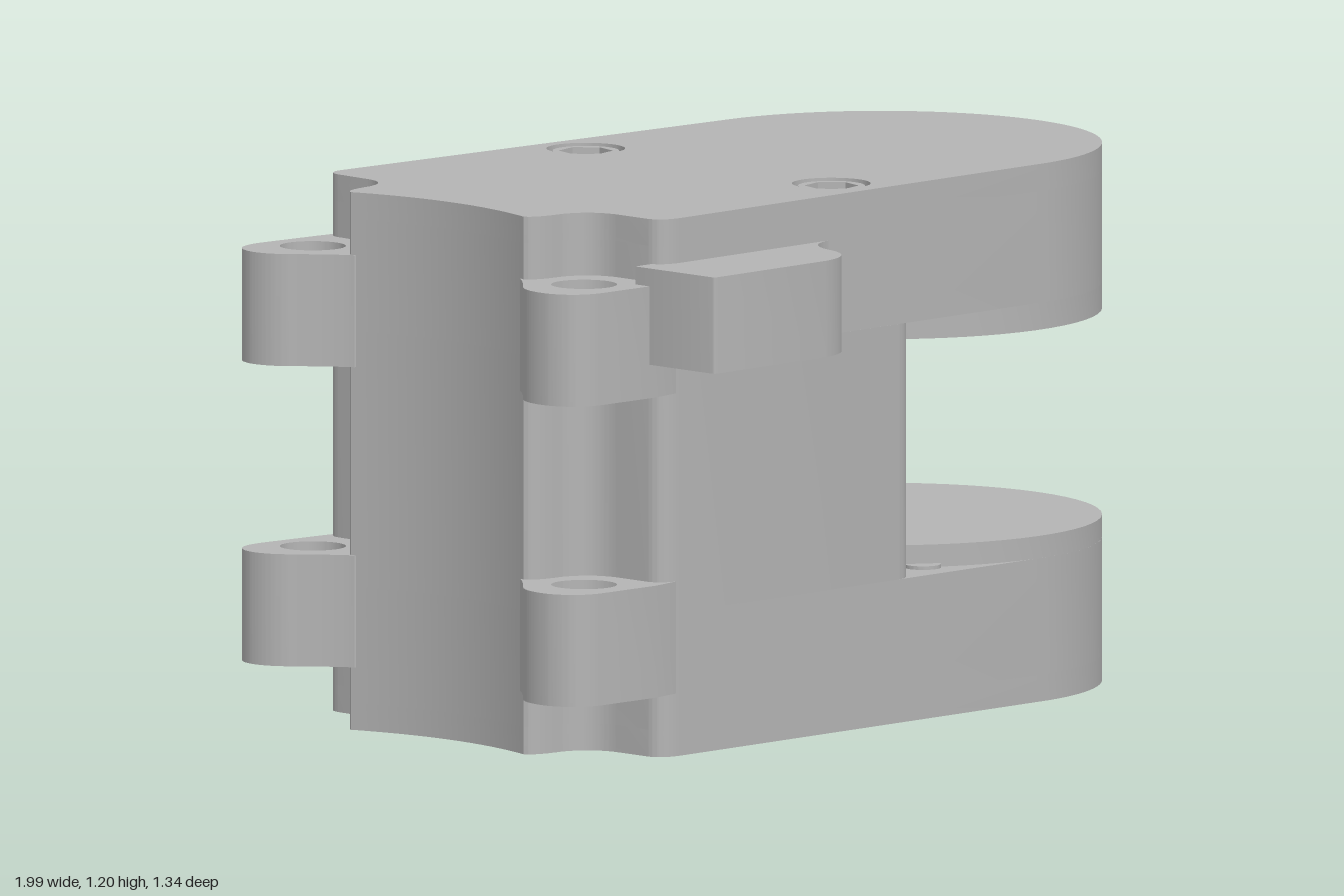
import * as THREE from 'three';
import { toCreasedNormals } from 'three/addons/utils/BufferGeometryUtils.js';

const grey = new THREE.MeshStandardMaterial({ color: 0xb4b4b4 });
grey.name = 'plain grey';

// Rounded jaw end: centre and radius in plan
const CX = 0.5, CZ = -0.08, R = 0.49;

// Plan shapes are drawn in (x, -z) so that extruding runs upward.
// Steps: [x, z] is a line, [cx, cz, x, z] a curve through a control point.
function trace(steps, shape = new THREE.Shape()) {
  steps.forEach((s, i) => {
    if (i === 0 && !shape.curves.length) shape.moveTo(s[0], -s[1]);
    else if (s.length === 2) shape.lineTo(s[0], -s[1]);
    else shape.quadraticCurveTo(s[0], -s[1], s[2], -s[3]);
  });
  return shape;
}

function circle(x, z, r) {
  return new THREE.Path().absarc(x, -z, r, 0, Math.PI * 2, true);
}

function slab(name, shape, y0, y1, holes = []) {
  shape.holes = holes;
  let g = new THREE.ExtrudeGeometry(shape, { depth: y1 - y0, bevelEnabled: false, curveSegments: 32 });
  g.rotateX(-Math.PI / 2).translate(0, y0, 0);
  const mesh = new THREE.Mesh(toCreasedNormals(g, 0.5), grey);
  mesh.name = name;
  return mesh;
}

// Notched hinge end shared by the jaws and the column, from back to front
const hingeEnd = [
  [-0.65, -0.61], [-0.7, -0.61, -0.705, -0.565], [-0.71, -0.47],
  [-0.715, -0.4, -0.79, -0.385], [-0.87, -0.38, -0.88, -0.35],
  [-0.79, -0.08, -0.88, 0.19],
  [-0.87, 0.22, -0.79, 0.22], [-0.715, 0.235, -0.71, 0.31],
  [-0.71, 0.41], [-0.705, 0.45, -0.65, 0.45],
];

function jawShape() {
  const s = trace(hingeEnd);
  s.lineTo(CX, -(CZ + R));
  s.absarc(CX, -CZ, R, -Math.PI / 2, Math.PI / 2, false);
  s.closePath();
  return s;
}

// Column with a rounded front edge and a hollow facing the discs
function columnShape() {
  const s = trace(hingeEnd);
  s.lineTo(0.05, -0.426);
  s.quadraticCurveTo(0.115, -0.42, 0.12, -0.345);
  s.absarc(CX, -CZ, 0.57, 3.983, 2.3, true);
  s.lineTo(0.12, 0.583);
  s.closePath();
  return s;
}

// Socket screw head sitting in a counterbore
function screw(x, z, y0, y1) {
  const head = new THREE.Shape().absarc(x, -z, 0.074, 0, Math.PI * 2, false);
  const hex = new THREE.Path();
  for (let i = 0; i < 6; i++) {
    const a = -i * Math.PI / 3 + 0.25;
    hex[i ? 'lineTo' : 'moveTo'](x + 0.06 * Math.cos(a), -z + 0.06 * Math.sin(a));
  }
  hex.closePath();
  return slab('screwHead', head, y0, y1, [hex]);
}

function disc(name, x, z, r, y0, y1) {
  return slab(name, new THREE.Shape().absarc(x, -z, r, 0, Math.PI * 2, false), y0, y1);
}

export function createModel() {
  const model = new THREE.Group();
  model.name = 'hingedClampBlock';
  const topScrews = [[-0.03, -0.47], [-0.03, 0.3]];
  const bottomScrews = [[0.24, 0.31], [0.24, -0.47], [-0.04, -0.29]];
  const bores = list => list.map(([x, z]) => circle(x, z, 0.087));

  // Jaws: solid plates with counterbored outer covers
  model.add(
    slab('lowerCover', jawShape(), 0, 0.06, bores(bottomScrews)),
    slab('lowerJaw', jawShape(), 0.06, 0.32),
    slab('column', columnShape(), 0.32, 0.89),
    slab('upperJaw', jawShape(), 0.89, 1.14),
    slab('upperCover', jawShape(), 1.14, 1.2, bores(topScrews)),
    disc('lowerDisc', CX, CZ, R, 0.32, 0.37),
    disc('upperDisc', CX, CZ, R, 0.83, 0.89),
  );

  // Screws, with tips showing on the lower ledge
  topScrews.forEach(([x, z]) => model.add(screw(x, z, 1.14, 1.195)));
  bottomScrews.forEach(([x, z]) => model.add(screw(x, z, 0.005, 0.06)));
  [[0.225, 0.33], [0.225, -0.48]].forEach(([x, z]) =>
    model.add(disc('screwTip', x, z, 0.04, 0.32, 0.328)));

  // Hinge lugs at both heights, front and back
  const frontLug = [
    [-0.66, 0.449], [-0.74, 0.465], [-0.91, 0.465], [-0.985, 0.46, -1, 0.385],
    [-1.005, 0.32, -0.97, 0.28], [-0.9, 0.21, -0.88, 0.18],
    [-0.86, 0.17], [-0.74, 0.19], [-0.66, 0.3],
  ];
  const backLug = [
    [-0.66, -0.609], [-0.72, -0.615], [-0.89, -0.627], [-0.985, -0.625, -1, -0.545],
    [-1.005, -0.49, -0.965, -0.45], [-0.9, -0.38, -0.88, -0.34],
    [-0.86, -0.33], [-0.74, -0.36], [-0.66, -0.46],
  ];
  for (const y of [0.14, 0.81]) {
    model.add(
      slab('frontHingeLug', trace(frontLug), y, y + 0.25, [circle(-0.84, 0.34, 0.073)]),
      slab('backHingeLug', trace(backLug), y, y + 0.25, [circle(-0.84, -0.51, 0.073)]),
    );
  }

  // Front thumb catch
  model.add(slab('frontCatch', trace([
    [-0.76, 0.42], [-0.76, 0.66], [-0.76, 0.668, -0.75, 0.668], [-0.4, 0.655],
    [-0.3, 0.64, -0.275, 0.55], [-0.26, 0.45, -0.17, 0.433], [-0.17, 0.4],
  ]), 0.885, 1.1));

  // Small back tabs
  const tab = [
    [-0.47, -0.58], [-0.47, -0.603], [-0.415, -0.61, -0.405, -0.645],
    [-0.395, -0.675, -0.37, -0.675], [-0.21, -0.672], [-0.18, -0.67, -0.175, -0.64],
    [-0.16, -0.6, -0.11, -0.591], [-0.11, -0.57],
  ];
  for (const y of [0.07, 1.06]) model.add(slab('backTab', trace(tab), y, y + 0.07));

  return model;
}
